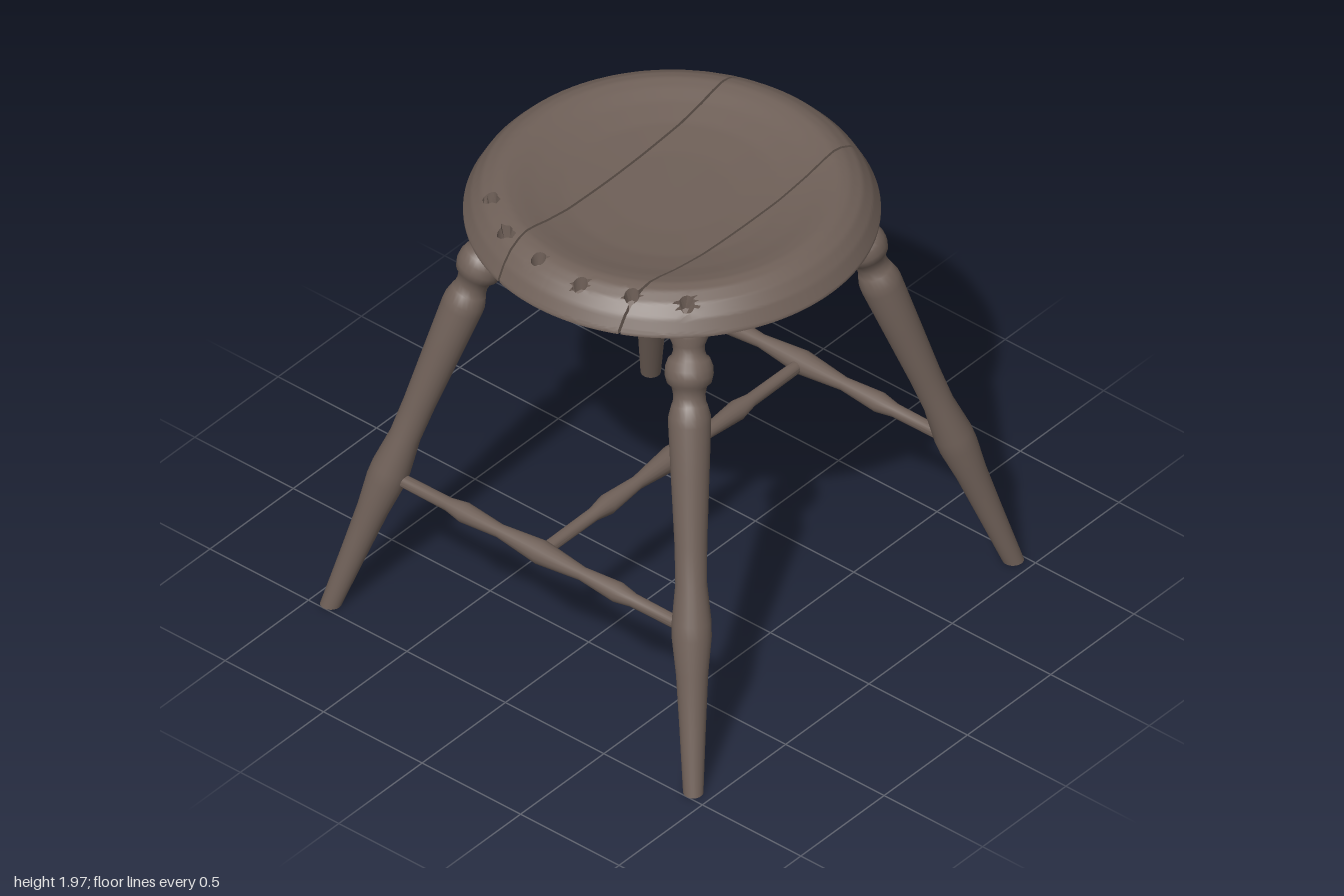
import * as THREE from 'three';
import { toCreasedNormals } from 'three/addons/utils/BufferGeometryUtils.js';

const wood = new THREE.MeshStandardMaterial({ color: 0x6f6058 });
wood.name = 'dark brown wood';

const R = 0.81; // seat radius
const topProfile = [[0, 1.91], [0.25, 1.913], [0.42, 1.925], [0.53, 1.947], [0.6, 1.966], [0.65, 1.975],
  [0.69, 1.967], [0.74, 1.94], [0.78, 1.895], [0.81, 1.84]];
const bottomProfile = [[0, 1.797], [0.62, 1.797], [0.81, 1.825]];
const holes = [[-0.48, 0.525], [-0.3, 0.65], [-0.085, 0.7], [0.135, 0.71], [0.335, 0.637], [0.52, 0.525]];
const HOLE_R = 0.03;
const HOLE_DEPTH = 0.06;

// height at radius r on a piecewise linear profile
function heightAt(profile, r) {
  for (let i = 1; i < profile.length; i++) {
    const [r0, y0] = profile[i - 1], [r1, y1] = profile[i];
    if (r <= r1) return y0 + (y1 - y0) * (r - r0) / (r1 - r0);
  }
  return profile[profile.length - 1][1];
}

// seat point on the top; points near a hole are snapped to its rim or floor
function topPoint(x, z, xMin, xMax) {
  let sink = 0;
  for (const [hx, hz] of holes) {
    const d = Math.hypot(x - hx, z - hz) / HOLE_R;
    if (d >= 1.5 || d < 1e-6) { if (d < 1e-6) sink = HOLE_DEPTH; continue; }
    const f = d >= 1 ? 1 / d : d >= 0.5 ? 0.94 / d : 1;
    if (d < 1) sink = HOLE_DEPTH;
    x = hx + (x - hx) * f;
    z = hz + (z - hz) * f;
  }
  x = Math.min(xMax, Math.max(xMin, x));
  return [x, heightAt(topProfile, Math.hypot(x, z)) - sink, z];
}

// plank made of upright cross-sections; line(s) gives [x, slope] of each section
function plank(name, line) {
  const m = 40, n = 100, loop = 2 * (n + 1);
  const pos = [], index = [];
  const [xa, ka] = line(0), [xb, kb] = line(1);
  const rimZ = (x0, k, sign) => {
    let z = 0;
    for (let q = 0; q < 8; q++) z = sign * Math.sqrt(Math.max(0, R * R - (x0 + k * z) ** 2));
    return z;
  };
  for (let i = 0; i <= m; i++) {
    const [x0, k] = line(i / m);
    const z0 = rimZ(x0, k, -1), z1 = rimZ(x0, k, 1);
    const zAt = j => (z0 + z1) / 2 + (z1 - z0) / 2 * Math.sin((j / n - 0.5) * Math.PI);
    for (let j = 0; j <= n; j++) {
      const z = zAt(j);
      pos.push(...topPoint(x0 + k * z, z, xa + ka * z, xb + kb * z));
    }
    for (let j = n; j >= 0; j--) {
      const z = zAt(j), x = x0 + k * z;
      pos.push(x, heightAt(bottomProfile, Math.hypot(x, z)), z);
    }
  }
  for (let i = 0; i < m; i++) {
    for (let k = 0; k < loop; k++) {
      const k1 = (k + 1) % loop;
      const a = i * loop + k, b = i * loop + k1, c = a + loop, d = b + loop;
      index.push(a, b, c, b, d, c);
    }
  }
  // sawn faces along the joints
  for (let j = 0; j < n; j++) {
    const t = j, t1 = j + 1, b = loop - 1 - j, b1 = b - 1, e = m * loop;
    index.push(t, b, t1, t1, b, b1);
    index.push(e + t, e + t1, e + b, e + t1, e + b1, e + b);
  }
  const geo = new THREE.BufferGeometry();
  geo.setAttribute('position', new THREE.Float32BufferAttribute(pos, 3));
  geo.setIndex(index);
  const mesh = new THREE.Mesh(toCreasedNormals(geo, 0.6), wood);
  mesh.name = name;
  return mesh;
}

function turned(points, segments) {
  return new THREE.LatheGeometry(points.map(([r, y]) => new THREE.Vector2(r, y)), segments);
}

// turned leg from foot to seat, with the foot cut level with the floor
function makeLeg(sx, sz) {
  const foot = new THREE.Vector3(0.92 * sx, 0, 0.96 * sz);
  const top = new THREE.Vector3(0.475 * sx, 1.83, 0.462 * sz);
  const axis = top.clone().sub(foot);
  const s = axis.length() / 1.83;
  axis.normalize();
  const profile = [[0, 0], [0.04, 0], [0.052, 0.25], [0.063, 0.45], [0.078, 0.59], [0.078, 0.65], [0.062, 0.8],
    [0.064, 0.95], [0.075, 1.2], [0.084, 1.41], [0.083, 1.44], [0.07, 1.485], [0.066, 1.49], [0.063, 1.52],
    [0.07, 1.555], [0.088, 1.57], [0.096, 1.6], [0.094, 1.63], [0.082, 1.66], [0.07, 1.668], [0.062, 1.69],
    [0.064, 1.715], [0.08, 1.75], [0.08, 1.78], [0.076, 1.83]];
  const geo = turned(profile.map(([r, y]) => [r, y * s]), 24);
  const turn = new THREE.Quaternion().setFromUnitVectors(new THREE.Vector3(0, 1, 0), axis);
  const p = geo.attributes.position, v = new THREE.Vector3();
  for (let i = 0; i < p.count; i++) {
    const isFoot = p.getY(i) < 1e-6;
    v.fromBufferAttribute(p, i).applyQuaternion(turn).add(foot);
    if (isFoot) v.addScaledVector(axis, -v.y / axis.y);
    p.setXYZ(i, v.x, v.y, v.z);
  }
  const mesh = new THREE.Mesh(toCreasedNormals(geo, 0.7), wood);
  mesh.name = (sz > 0 ? 'front' : 'back') + (sx > 0 ? 'Left' : 'Right') + 'Leg';
  return mesh;
}

// stretcher with a middle swelling and two smaller ones
function makeStretcher(name, half) {
  const side = [[0.026, half], [0.028, 0.47], [0.042, 0.39], [0.028, 0.21], [0.05, 0]];
  const points = [...side.map(([r, y]) => [r, -y]), ...side.slice(0, -1).reverse()];
  const mesh = new THREE.Mesh(toCreasedNormals(turned(points, 16), 0.6), wood);
  mesh.name = name;
  mesh.position.y = 0.61;
  return mesh;
}

export function createModel() {
  const model = new THREE.Group();
  model.name = 'stool';

  // round dished seat of three planks with narrow open joints
  const seat = new THREE.Group();
  seat.name = 'seat';
  const g = 0.005, jr = -0.237, kr = 0.023, jl = 0.357, kl = -0.01;
  const mix = THREE.MathUtils.lerp;
  seat.add(
    plank('rightPlank', s => {
      const e = 1 - Math.sin((1 - s) * Math.PI / 2);
      return [mix(-R, jr - g, e), kr * e];
    }),
    plank('middlePlank', s => [mix(jr + g, jl - g, s), mix(kr, kl, s)]),
    plank('leftPlank', s => {
      const e = Math.sin(s * Math.PI / 2);
      return [mix(jl + g, R, e), kl * (1 - e)];
    }),
  );
  model.add(seat);

  for (const sx of [1, -1]) for (const sz of [1, -1]) model.add(makeLeg(sx, sz));

  // front and back stretchers joined by a cross stretcher
  for (const [name, z] of [['frontStretcher', 0.785], ['backStretcher', -0.785]]) {
    const bar = makeStretcher(name, 0.75);
    bar.rotation.z = Math.PI / 2;
    bar.position.z = z;
    model.add(bar);
  }
  const cross = makeStretcher('crossStretcher', 0.78);
  cross.rotation.x = Math.PI / 2;
  model.add(cross);

  return model;
}
